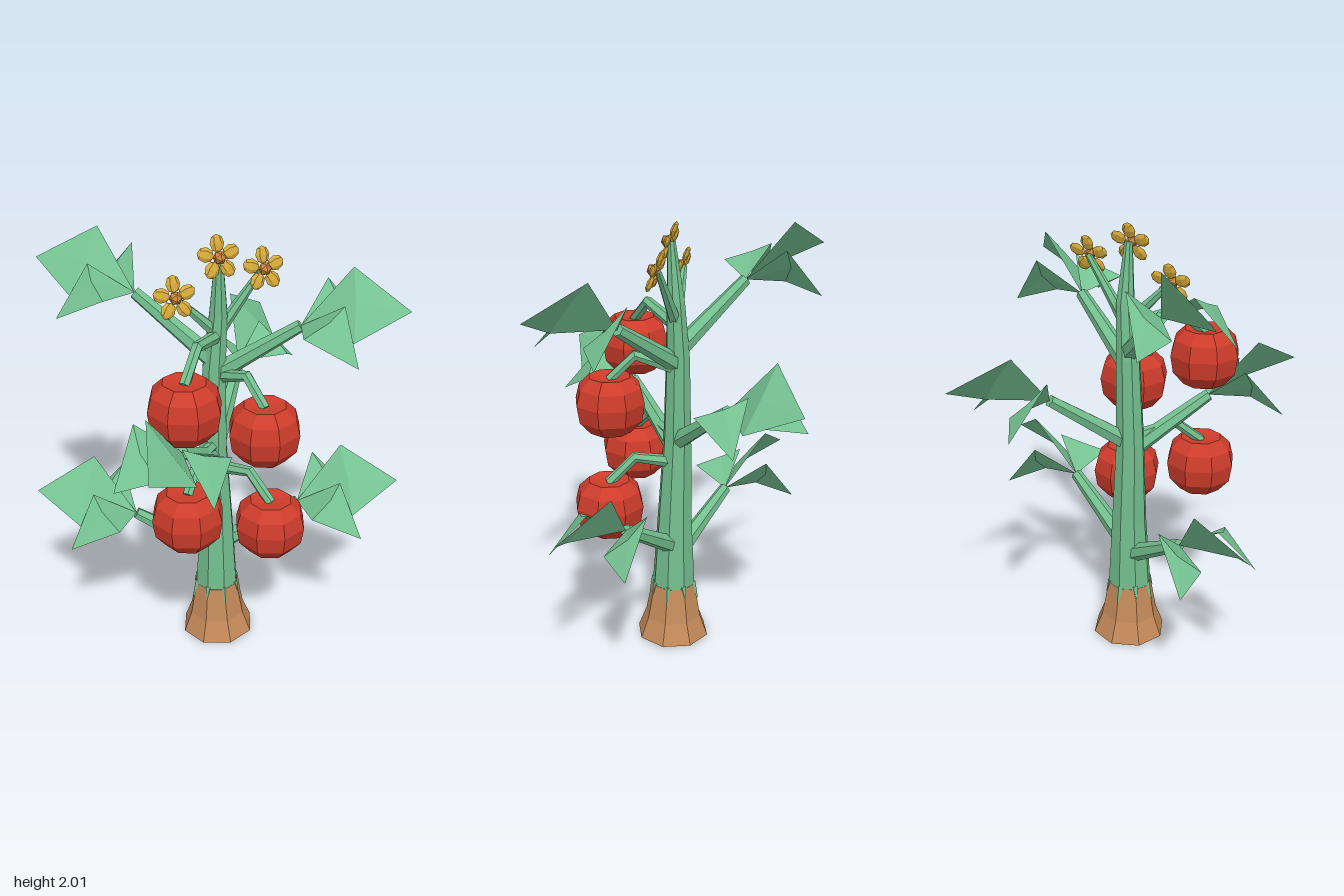
import * as THREE from 'three';

const mat = (name, color, side = THREE.FrontSide) =>
  new THREE.MeshStandardMaterial({ name, color, side, flatShading: true });
const V = (a) => new THREE.Vector3(...a);

// Tapered tube through points [x, y, z, radius]
function loft(stops, sides) {
  const n = stops.length;
  const pts = stops.map((s) => new THREE.Vector3(s[0], s[1], s[2]));
  const frames = pts.map((p, i) => {
    const t = pts[Math.min(i + 1, n - 1)].clone().sub(pts[Math.max(i - 1, 0)]).normalize();
    return new THREE.Quaternion().setFromUnitVectors(new THREE.Vector3(0, 1, 0), t);
  });
  const geo = new THREE.CylinderGeometry(1, 1, 1, sides, n - 1);
  const pos = geo.attributes.position;
  const v = new THREE.Vector3();
  for (let k = 0; k < pos.count; k++) {
    v.fromBufferAttribute(pos, k);
    const i = Math.round((v.y + 0.5) * (n - 1));
    v.y = 0;
    v.multiplyScalar(stops[i][3]).applyQuaternion(frames[i]).add(pts[i]);
    pos.setXYZ(k, v.x, v.y, v.z);
  }
  geo.computeVertexNormals();
  return geo;
}

// Bent leaf: stem end at the origin, then high corner, middle, low corner, tip; m = 1 or -1 mirrors it in z
function leafGeometry(points, m) {
  const geo = new THREE.BufferGeometry();
  const flat = [[0, 0, 0], ...points].flatMap(([x, y, z]) => [x, y, z * m]);
  geo.setAttribute('position', new THREE.Float32BufferAttribute(flat, 3));
  geo.setIndex(m > 0 ? [0, 1, 2, 0, 2, 3, 2, 1, 4, 2, 4, 3] : [0, 2, 1, 0, 3, 2, 2, 4, 1, 2, 3, 4]);
  geo.computeVertexNormals();
  return geo;
}

export function createModel() {
  const green = mat('stem green', 0x73be8e);
  const leafGreen = mat('leaf green', 0x75c292, THREE.DoubleSide);
  const brown = mat('bark brown', 0xc48a5a);
  const red = mat('fruit red', 0xce3c2b);
  const gold = mat('petal gold', 0xd6aa3a);
  const orange = mat('flower centre orange', 0xd0883e);

  const model = new THREE.Group();
  model.name = 'fruitPlant';
  const add = (parent, name, geo, material) => {
    const mesh = new THREE.Mesh(geo, material);
    mesh.name = name;
    parent.add(mesh);
    return mesh;
  };

  // Flared woody foot and green stalk
  add(model, 'trunkFoot', loft([
    [-0.015, 0, 0.018, 0.173], [-0.017, 0.1, 0.017, 0.135], [-0.02, 0.27, 0.015, 0.104],
  ], 8), brown);
  add(model, 'stalk', loft([
    [-0.02, 0.265, 0.015, 0.103], [-0.02, 0.6, 0.01, 0.083], [-0.03, 1.0, 0, 0.066],
    [-0.022, 1.4, -0.005, 0.055], [-0.005, 1.65, 0, 0.042], [-0.01, 1.92, 0.02, 0.018],
  ], 8), green);

  // Green streaks running down the corners of the foot
  for (let i = 0; i < 8; i++) {
    const a = (i * Math.PI) / 4;
    const len = i % 2 ? 0.05 : 0.08;
    const at = (y, r) => [-0.02 + Math.sin(a) * r, y, 0.015 + Math.cos(a) * r];
    add(model, 'greenStreak', loft([
      [...at(0.275 - len, 0.104 + len * 0.18), 0.003], [...at(0.28, 0.092), 0.016],
    ], 4), green);
  }

  // Leaf cluster along +x: a main leaf and two drooping side leaves, all rolled the same way
  const leafShapes = [
    ['mainLeaf', [[0.2, 0.25, 0.09], [0.23, 0.13, -0.02], [0.245, 0, -0.13], [0.46, 0.11, 0]]],
    ['sideLeaf', [[0.08, 0.155, 0.185], [0.15, 0.06, 0.135], [0.2, -0.03, 0.04], [0.27, -0.07, 0.215]]],
    ['sideLeaf', [[0.19, 0.13, -0.055], [0.14, 0.085, -0.135], [0.05, 0.04, -0.225], [0.28, -0.075, -0.21]]],
  ];

  // [height on stalk, branch end, heading x, heading z]
  const branches = [
    ['upperLeft', 1.37, [0.31, 1.61, 0.16], 0.38, 0.27],
    ['upperRight', 1.43, [-0.3, 1.7, -0.24], -0.34, -0.28],
    ['middleLeft', 1.0, [0.21, 1.26, -0.29], 0.26, -0.36],
    ['middleRight', 0.95, [-0.28, 1.18, 0.29], -0.26, 0.36],
    ['lowerLeft', 0.46, [0.34, 0.7, 0.13], 0.42, 0.16],
    ['lowerRight', 0.42, [-0.36, 0.63, -0.15], -0.4, -0.18],
  ];
  for (const [name, y, end, hx, hz] of branches) {
    add(model, name + 'Branch', loft([[-0.02, y, 0, 0.045], [...end, 0.028]], 6), green);
    const cluster = new THREE.Group();
    cluster.name = name + 'Leaves';
    cluster.position.copy(V(end));
    cluster.rotation.y = Math.atan2(-hz, hx);
    for (const [leaf, points] of leafShapes) add(cluster, leaf, leafGeometry(points, -Math.sign(hx)), leafGreen);
    model.add(cluster);
  }

  // Faceted round fruits on bent stems
  const fruitGeo = new THREE.LatheGeometry([
    [0, -0.13], [0.098, -0.13], [0.15, -0.07], [0.163, 0.01], [0.145, 0.08], [0.096, 0.128], [0, 0.112],
  ].map(([r, y]) => new THREE.Vector2(r, y)), 8);
  const fruits = [
    [[-0.262, 1.375, 0.275], [-0.02, 1.55, 0.01], [-0.17, 1.6, 0.18]],
    [[0.1, 1.2, 0.275], [0, 1.36, 0.01], [0.06, 1.42, 0.17]],
    [[-0.255, 0.845, 0.275], [-0.03, 1.02, 0.01], [-0.17, 1.06, 0.18]],
    [[0.138, 0.715, 0.275], [-0.01, 0.9, 0.01], [0.08, 0.94, 0.17]],
  ];
  for (const [c, root, knee] of fruits) {
    add(model, 'fruit', fruitGeo, red).position.copy(V(c));
    add(model, 'fruitStem', loft([
      [...root, 0.03], [...knee, 0.025], [c[0], c[1] + 0.11, c[2], 0.024],
    ], 6), green);
  }

  // Five-petalled flowers facing forward and slightly up
  const petalGeo = new THREE.SphereGeometry(1, 6, 4).scale(0.032, 0.038, 0.013);
  const centreGeo = new THREE.IcosahedronGeometry(0.029, 0);
  const flowers = [[-0.21, 1.765, 0.035], [-0.015, 1.915, 0.035], [0.19, 1.838, 0.035]];
  for (const f of flowers) {
    const flower = new THREE.Group();
    flower.name = 'flower';
    flower.position.copy(V(f));
    flower.rotation.x = -0.33;
    add(flower, 'flowerCentre', centreGeo, orange).position.z = 0.006;
    for (let i = 0; i < 5; i++) {
      const a = (i * Math.PI * 2) / 5;
      const petal = add(flower, 'petal', petalGeo, gold);
      petal.position.set(Math.sin(a) * 0.059, Math.cos(a) * 0.059, -0.006);
      petal.rotation.z = -a;
    }
    model.add(flower);
    if (Math.abs(f[0]) > 0.1) {
      add(model, 'flowerStem', loft([
        [-0.01, 1.56, 0, 0.03], [f[0], f[1], f[2] - 0.015, 0.014],
      ], 6), green);
    }
  }
  return model;
}
